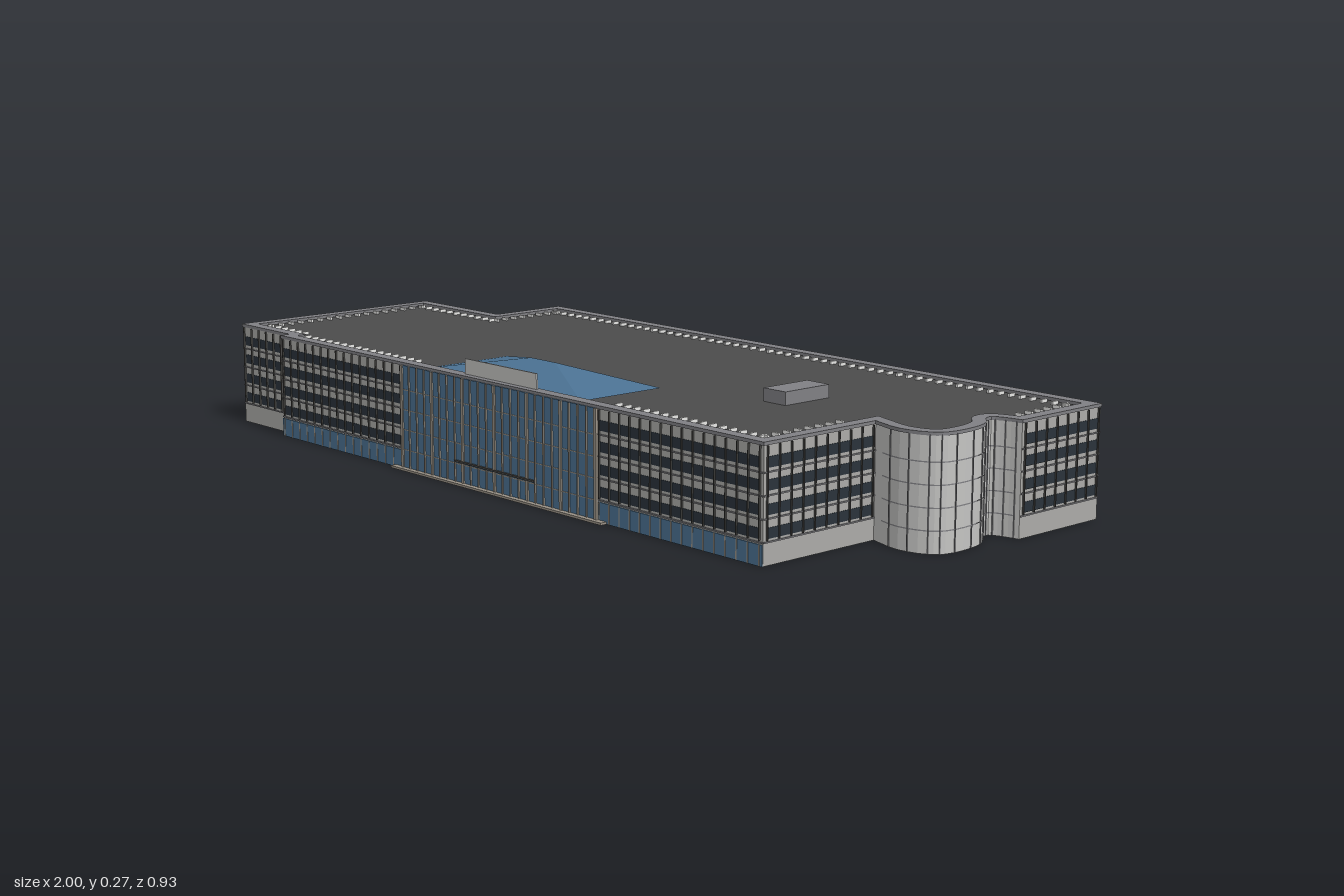
import * as THREE from 'three';
import { mergeGeometries } from 'three/addons/utils/BufferGeometryUtils.js';

const material = (name, color, side = THREE.FrontSide) => {
  const m = new THREE.MeshStandardMaterial({ color, side });
  m.name = name;
  return m;
};

export function createModel() {
  const wallMat = material('wall grey', 0xacaba8, THREE.DoubleSide);
  const towerMat = material('tower light grey', 0xc4c4c2, THREE.DoubleSide);
  const roofMat = material('roof charcoal', 0x4c4c4c);
  const parapetMat = material('parapet grey', 0x808084);
  const windowMat = material('dark window', 0x2a333b);
  const glassMat = material('blue glass', 0x4b7293);
  const finMat = material('fin dark grey', 0x484745);
  const mullionMat = material('mullion taupe', 0x9a9287);
  const markerMat = material('roof marker white', 0xf4f4f2);

  const model = new THREE.Group();
  const building = new THREE.Group();
  building.name = 'building';
  building.rotation.y = 0.0855;
  model.add(building);

  const add = (name, geometry, mat, parent = building) => {
    const mesh = new THREE.Mesh(geometry, mat);
    mesh.name = name;
    parent.add(mesh);
    return mesh;
  };
  const box = (w, h, d, x, y, z) => new THREE.BoxGeometry(w, h, d).translate(x, y, z);
  // Box standing just clear of a wall, d deep
  const onWall = (w, h, d, x, y) => box(w, h, d, x, y, 0.0006 + d / 2);

  // Plan outline as [x, z], counter-clockwise seen from above
  const front = [[-0.987, 0.368], [-0.782, 0.368], [-0.782, 0.393], [0.825, 0.393], [0.825, 0.088]];
  const towerKnots = [[0.825, 0.088], [0.906, 0.108], [0.968, 0.092], [0.99, 0.065], [0.993, -0.005],
    [0.978, -0.057], [0.951, -0.088], [0.948, -0.11], [0.974, -0.123], [1.01, -0.13]];
  const tower = new THREE.CatmullRomCurve3(towerKnots.map(([x, z]) => new THREE.Vector3(x, 0, z)))
    .getPoints(27).map((p) => [p.x, p.z]);
  const back = [[1.01, -0.13], [1.008, -0.377], [-0.692, -0.379], [-0.692, -0.181], [-0.987, -0.181]];
  const outline = [...front, ...tower.slice(1, -1), ...back];

  // Moves every outline point inward by d along its mitre
  const inset = (pts, d) => pts.map((p, i) => {
    const a = pts[(i + pts.length - 1) % pts.length], b = pts[(i + 1) % pts.length];
    const normal = (s, e) => {
      const l = Math.hypot(e[0] - s[0], e[1] - s[1]);
      return [(e[1] - s[1]) / l, -(e[0] - s[0]) / l];
    };
    const n = normal(a, p), m = normal(p, b);
    const k = d / Math.max(0.35, 1 + n[0] * m[0] + n[1] * m[1]);
    return [p[0] + (n[0] + m[0]) * k, p[1] + (n[1] + m[1]) * k];
  });

  // Vertical sheet following plan points
  const strip = (pts, y0, y1) => {
    const pos = [];
    for (let i = 0; i + 1 < pts.length; i++) {
      const [ax, az] = pts[i], [bx, bz] = pts[i + 1];
      pos.push(ax, y0, az, bx, y0, bz, bx, y1, bz, ax, y0, az, bx, y1, bz, ax, y1, az);
    }
    const g = new THREE.BufferGeometry();
    g.setAttribute('position', new THREE.Float32BufferAttribute(pos, 3));
    g.computeVertexNormals();
    return g;
  };

  // Hollow outer walls and round tower
  add('frontWalls', strip(front, 0, 0.235), wallMat);
  add('backWalls', strip([...back, front[0]], 0, 0.235), wallMat);
  add('towerWall', strip(tower, 0, 0.235), towerMat);

  // Roof surface, ceiling below it and parapet ring
  const vec = (pts, s = -1) => pts.map(([x, z]) => new THREE.Vector2(x, s * z));
  const roof = new THREE.ShapeGeometry(new THREE.Shape(vec(outline))).rotateX(-Math.PI / 2);
  add('roof', roof.translate(0, 0.232, 0), roofMat);
  const ceiling = new THREE.ShapeGeometry(new THREE.Shape(vec(outline, 1))).rotateX(Math.PI / 2);
  add('ceiling', ceiling.translate(0, 0.23, 0), parapetMat);
  const ring = new THREE.Shape(vec(inset(outline, -0.002)));
  ring.holes.push(new THREE.Path(vec(inset(outline, 0.026))));
  const parapet = new THREE.ExtrudeGeometry(ring, { depth: 0.007, bevelEnabled: false });
  add('parapet', parapet.rotateX(-Math.PI / 2).translate(0, 0.233, 0), parapetMat);

  // Tower joints: floor lines and upright ribs
  const floorLines = [0.045, 0.09, 0.135, 0.18];
  const towerOut = inset(outline, -0.0012).slice(front.length, front.length + tower.length - 2);
  add('towerFloorLines', mergeGeometries(floorLines.map((y) => strip(towerOut, y, y + 0.0025))), parapetMat);
  add('towerRibs', mergeGeometries(towerOut.filter((p, i) => i % 2 === 1)
    .map(([x, z]) => box(0.002, 0.235, 0.002, x, 0.1175, z))), parapetMat);

  // Group whose x runs along a wall and whose z points outward
  const wallGroup = (name, [x0, z0], [x1, z1]) => {
    const g = new THREE.Group();
    g.name = name;
    g.position.set(x0, 0, z0);
    g.rotation.y = Math.atan2(z0 - z1, x1 - x0);
    building.add(g);
    return [g, Math.hypot(x1 - x0, z1 - z0)];
  };

  // Row of upright white markers on the roof behind a wall
  const roofMarkers = (g, length, from, to) => {
    const n = Math.round((to - from) / 0.028);
    const markers = [];
    for (let i = 0; i <= n; i++) {
      markers.push(box(0.0055, 0.007, 0.018, from + (i / n) * (to - from), 0.236, -0.048));
    }
    add('roofMarkers', mergeGeometries(markers), markerMat, g);
  };

  // Office wall: four rows of windows, fins and sills
  const facade = (name, start, end, { glassBase = false, from = 0.05, to = 0.05, pane = 0.92 } = {}) => {
    const [g, length] = wallGroup(name, start, end);
    const n = Math.max(2, Math.round((length - 0.016) / 0.031));
    const pitch = (length - 0.016) / n;
    const panes = [], fins = [], posts = [];
    for (let i = 0; i <= n; i++) {
      const x = 0.008 + i * pitch;
      fins.push(onWall(0.0025, 0.183, 0.004, x, 0.1405));
      if (glassBase) posts.push(onWall(0.003, 0.042, 0.003, x, 0.021));
      if (i === n) break;
      for (const y of [0.063, 0.109, 0.156, 0.2]) {
        panes.push(onWall(pitch * pane, 0.0215, 0.001, x + pitch / 2, y));
      }
    }
    add('windows', mergeGeometries(panes), windowMat, g);
    add('fins', mergeGeometries(fins), finMat, g);
    add('sills', mergeGeometries(floorLines.map((y) => onWall(length, 0.003, 0.002, length / 2, y + 0.001))),
      parapetMat, g);
    roofMarkers(g, length, from, length - to);
    if (glassBase) {
      add('groundFloorGlass', onWall(length, 0.042, 0.002, length / 2, 0.021), glassMat, g);
      add('groundFloorPosts', mergeGeometries(posts), mullionMat, g);
    }
  };
  const hallStart = [-0.302, 0.393], hallEnd = [0.351, 0.393];
  facade('frontRightEndFacade', front[0], front[1], { to: 0.01, pane: 0.75 });
  facade('frontRightFacade', front[2], hallStart, { glassBase: true, from: 0.01, to: 0.01 });
  facade('frontLeftFacade', hallEnd, front[3], { glassBase: true, from: 0.01 });
  facade('leftFrontFacade', front[3], front[4]);
  facade('leftBackFacade', back[0], back[1]);
  facade('backFacade', back[1], back[2]);
  facade('backNotchSide', back[2], back[3], { to: -0.04 });
  facade('backNotchFacade', back[3], back[4], { from: -0.04 });
  facade('rightFacade', back[4], front[0]);

  // Glazed entrance hall
  const [hall, width] = wallGroup('entranceHall', hallStart, hallEnd);
  add('curtainWall', onWall(width, 0.234, 0.004, width / 2, 0.117), glassMat, hall);
  const mullions = [];
  for (let i = 0; i <= 24; i++) {
    const w = i % 4 === 0 ? 0.008 : 0.0035;
    mullions.push(onWall(w, 0.234, 0.007, (i / 24) * width, 0.117));
  }
  for (const y of floorLines) mullions.push(onWall(width, 0.002, 0.005, width / 2, y));
  add('mullions', mergeGeometries(mullions), mullionMat, hall);
  add('canopy', onWall(0.27, 0.004, 0.009, width / 2, 0.051), finMat, hall);
  add('entranceStep', onWall(width + 0.06, 0.005, 0.017, width / 2, 0.0025), mullionMat, hall);

  // Hipped glass skylight
  const hip = new THREE.BufferGeometry();
  hip.setAttribute('position', new THREE.Float32BufferAttribute([
    -0.235, 0.2345, 0.375, 0.278, 0.2345, 0.375, 0.278, 0.2345, 0.155, -0.235, 0.2345, 0.155,
    -0.02, 0.272, 0.26, 0.06, 0.272, 0.26], 3));
  hip.setIndex([0, 1, 5, 0, 5, 4, 1, 2, 5, 2, 3, 4, 2, 4, 5, 3, 0, 4]);
  const skylight = hip.toNonIndexed();
  skylight.computeVertexNormals();
  add('skylight', skylight, glassMat);

  // Blank roof panel and plant room
  add('roofPanel', box(0.24, 0.036, 0.004, 0.022, 0.2555, 0.377), towerMat);
  add('plantRoom', box(0.063, 0.028, 0.127, 0.547, 0.2465, 0.025), parapetMat);

  return model;
}
